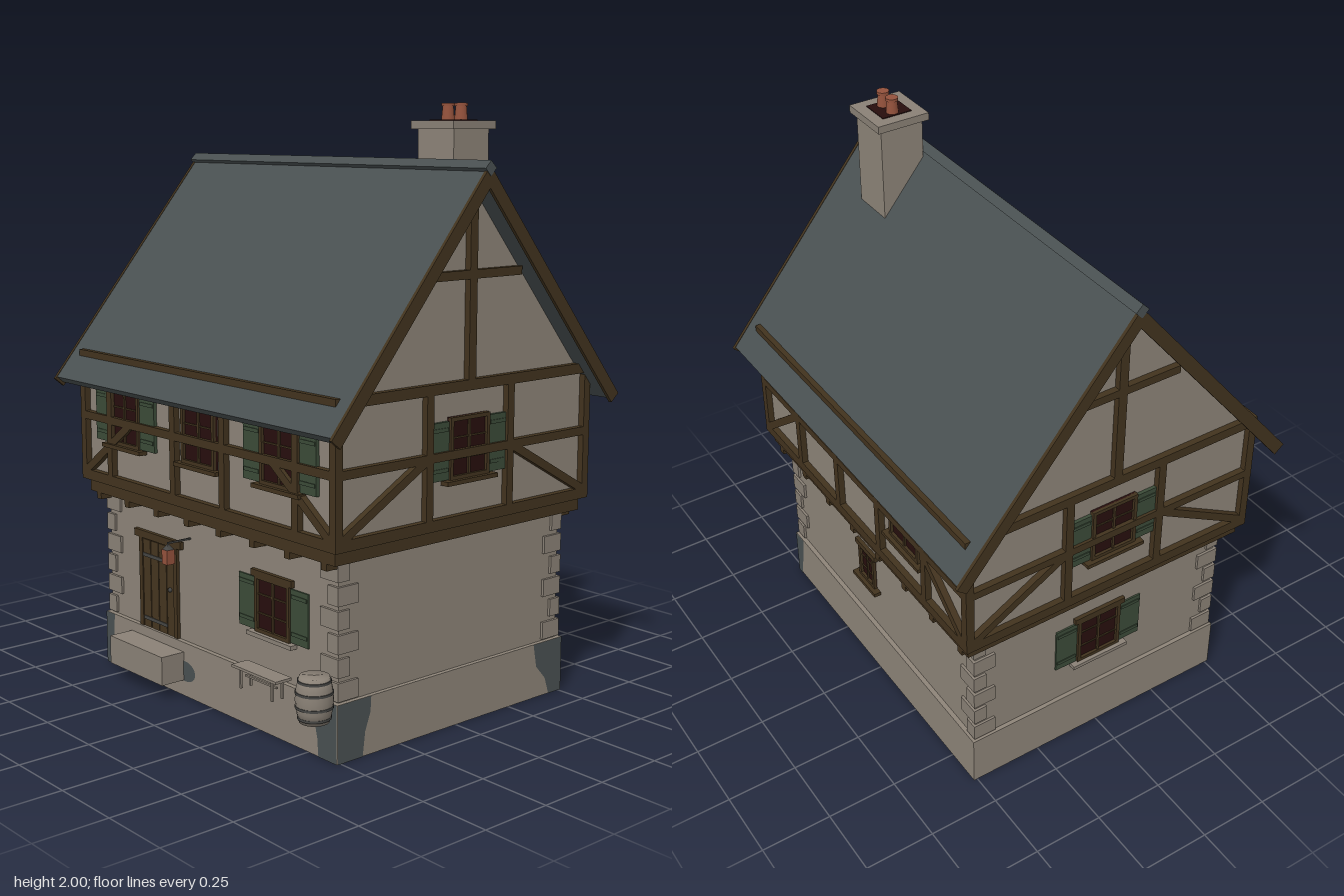
import * as THREE from 'three';

const mat = (name, color, side = THREE.FrontSide) => {
  const m = new THREE.MeshStandardMaterial({ color, side });
  m.name = name;
  return m;
};

export function createModel() {
  const M = {
    plaster: mat('plaster', 0x8d8478),
    stone: mat('stone', 0x8a8176),
    timber: mat('timber', 0x42331e),
    plank: mat('door plank', 0x45351f),
    slate: mat('slate', 0x495051, THREE.DoubleSide),
    glass: mat('dark glass', 0x270e0d),
    shutter: mat('shutter green', 0x3b4b38),
    clay: mat('terracotta', 0x94523c),
    iron: mat('iron', 0x464644),
  };
  const model = new THREE.Group();
  model.name = 'halfTimberedHouse';

  const add = (parent, name, geo, m, x = 0, y = 0, z = 0) => {
    const mesh = new THREE.Mesh(geo, m);
    mesh.name = name;
    mesh.position.set(x, y, z);
    parent.add(mesh);
    return mesh;
  };
  const box = (p, name, m, w, h, d, x, y, z) => add(p, name, new THREE.BoxGeometry(w, h, d), m, x, y, z);
  const poly = (pts) => new THREE.Shape(pts.map(([x, y]) => new THREE.Vector2(x, y)));
  // Profile in z/y, extruded along x between x0 and x1
  const along = (name, m, pts, x0, x1) => {
    const g = new THREE.ExtrudeGeometry(poly(pts), { depth: x1 - x0, bevelEnabled: false });
    g.rotateY(Math.PI / 2);
    return add(model, name, g, m, x0, 0, 0);
  };
  // Group whose local z = 0 lies on a wall face
  const face = (name, angle, dist) => {
    const g = new THREE.Group();
    g.name = name;
    g.rotation.y = angle;
    g.position.set(Math.sin(angle) * dist, 0, Math.cos(angle) * dist);
    model.add(g);
    return g;
  };
  const beam = (p, x1, y1, x2, y2, w = 0.03, name = 'beam') => {
    const b = box(p, name, M.timber, Math.hypot(x2 - x1, y2 - y1), w, 0.024, (x1 + x2) / 2, (y1 + y2) / 2, 0.01);
    b.rotation.z = Math.atan2(y2 - y1, x2 - x1);
  };
  const windowAt = (p, x, y, w, h, { shutters = 0, sill = M.timber, lintel = false } = {}) => {
    const g = new THREE.Group();
    g.name = 'window';
    g.position.set(x, y, 0);
    p.add(g);
    const bar = w * 0.05;
    box(g, 'glass', M.glass, w, h, 0.008, 0, 0, 0.004);
    for (const s of [-1, 1]) {
      box(g, 'frameSide', M.timber, 0.013, h, 0.018, s * (w / 2 - 0.0065), 0, 0.009);
      box(g, 'frameRail', M.timber, w, 0.013, 0.018, 0, s * (h / 2 - 0.0065), 0.009);
      box(g, 'glazingBar', M.timber, w, bar * 0.6, 0.012, 0, s * h / 6, 0.006);
      if (shutters) {
        const sx = s * (w / 2 + shutters / 2 + 0.002);
        box(g, 'shutter', M.shutter, shutters, h - 0.015, 0.012, sx, -0.004, 0.006);
        for (const t of [-1, 1]) box(g, 'shutterBatten', M.shutter, shutters - 0.01, 0.012, 0.004, sx, t * h * 0.32, 0.013);
      }
    }
    box(g, 'mullion', M.timber, bar, h, 0.014, 0, 0, 0.007);
    box(g, 'sill', sill, w + 0.05, 0.014, 0.032, 0, -h / 2 - 0.006, 0.016);
    if (lintel) box(g, 'lintel', M.timber, w + 0.03, 0.022, 0.02, 0, h / 2 + 0.005, 0.01);
  };

  // Open plinth shell and ground storey
  for (const s of [-1, 1]) {
    box(model, 'plinthLong', M.plaster, 1.274, 0.19, 0.012, 0, 0.095, s * 0.507);
    box(model, 'plinthShort', M.plaster, 0.012, 0.19, 1.002, s * 0.631, 0.095, 0);
    box(model, 'plinthLedgeLong', M.plaster, 1.274, 0.006, 0.03, 0, 0.187, s * 0.498);
    box(model, 'plinthLedgeShort', M.plaster, 0.03, 0.006, 1.002, s * 0.622, 0.187, 0);
  }
  box(model, 'groundWalls', M.plaster, 1.244, 0.475, 0.992, 0, 0.4225, 0);

  // Alternating corner stones
  for (const sx of [-1, 1]) for (const sz of [-1, 1]) for (let i = 0; i < 6; i++) {
    const w = i % 2 ? 0.083 : 0.048, d = i % 2 ? 0.048 : 0.083;
    box(model, 'cornerStone', M.stone, w, 0.06, d, sx * (0.631 - w / 2), 0.226 + i * 0.0755, sz * (0.505 - d / 2));
  }

  // Jetty with joist ends
  box(model, 'jettyBeam', M.timber, 1.334, 0.05, 1.096, 0, 0.665, 0);
  for (const s of [-1, 1]) for (let i = 0; i < 8; i++)
    box(model, 'joistEnd', M.timber, 0.026, 0.03, 0.075, -0.615 + i * 0.1757, 0.632, s * 0.51);

  // Upper storey with gables
  along('upperWalls', M.plaster, [[-0.545, 0.685], [0.545, 0.685], [0.545, 1.1], [0, 1.757], [-0.545, 1.1]], -0.668, 0.668);

  const front = face('frontTimbers', 0, 0.545), back = face('backTimbers', Math.PI, 0.545);
  const left = face('leftTimbers', Math.PI / 2, 0.668), right = face('rightTimbers', -Math.PI / 2, 0.668);
  for (const [f, half, posts, braceEnd] of [
    [front, 0.69, [-0.51, -0.135, 0.135, 0.5], 0.39], [back, 0.69, [-0.414, -0.138, 0.138, 0.43], 0.42],
    [left, 0.567, [-0.18, 0.18], 0.19], [right, 0.567, [-0.18, 0.18], 0.19]]) {
    beam(f, -half, 0.703, half, 0.703, 0.036, 'sillBeam');
    beam(f, -half, 0.918, half, 0.918, 0.028, 'midRail');
    beam(f, -half, 1.132, half, 1.132, 0.034, 'wallPlate');
    for (const x of [...posts, -half + 0.015, half - 0.015]) beam(f, x, 0.7, x, 1.13, 0.029, 'post');
    for (const s of [-1, 1]) beam(f, s * (half - 0.03), 0.72, s * braceEnd, 0.915, 0.028, 'brace');
  }
  for (const f of [left, right]) {
    beam(f, 0, 1.14, 0, 1.75, 0.032, 'kingPost');
    beam(f, -0.218, 1.477, 0.218, 1.477, 0.028, 'collarBeam');
    windowAt(f, 0, 0.936, 0.175, 0.2, { shutters: 0.078 });
  }
  for (const x of [-0.428, 0, 0.414]) windowAt(front, x, 0.936, 0.18, 0.2, { shutters: x ? 0.085 : 0 });
  windowAt(back, 0.302, 0.936, 0.18, 0.2);

  // Ground storey openings
  const gFront = face('groundFront', 0, 0.49), gBack = face('groundBack', Math.PI, 0.49);
  const gRight = face('groundRight', -Math.PI / 2, 0.616);
  windowAt(gFront, 0.312, 0.42, 0.175, 0.19, { shutters: 0.085, sill: M.stone, lintel: true });
  windowAt(gRight, 0, 0.425, 0.175, 0.19, { shutters: 0.085, sill: M.stone, lintel: true });
  windowAt(gBack, -0.075, 0.443, 0.105, 0.145, { lintel: true });

  // Door with planks, straps and handle
  const door = new THREE.Group();
  door.name = 'door';
  door.position.set(-0.315, 0, 0);
  gFront.add(door);
  for (let i = 0; i < 4; i++) box(door, 'doorPlank', M.plank, 0.043, 0.315, 0.014, -0.071 + i * 0.0473, 0.348, 0.007);
  box(door, 'doorBacking', M.timber, 0.2, 0.315, 0.008, 0, 0.348, 0.004);
  for (const s of [-1, 1]) box(door, 'doorJamb', M.timber, 0.02, 0.325, 0.018, s * 0.102, 0.353, 0.009);
  box(door, 'doorLintel', M.timber, 0.275, 0.026, 0.02, 0, 0.523, 0.01);
  for (const y of [0.222, 0.45]) box(door, 'strapHinge', M.iron, 0.14, 0.012, 0.004, -0.02, y, 0.015);
  add(door, 'doorHandle', new THREE.SphereGeometry(0.008, 10, 8), M.iron, 0.07, 0.355, 0.016);
  box(model, 'doorStep', M.stone, 0.315, 0.1, 0.092, -0.318, 0.106, 0.559);

  // Damp patches on the plinth
  const patch = (f, pts) => add(f, 'dampPatch', new THREE.ShapeGeometry(poly(pts)), M.slate);
  const pFront = face('plinthFront', 0, 0.515), pLeft = face('plinthLeft', Math.PI / 2, 0.639);
  const pBack = face('plinthBack', Math.PI, 0.515);
  patch(pFront, [[0.636, 0], [0.636, 0.19], [0.455, 0.19], [0.48, 0.15], [0.53, 0.12], [0.545, 0.06], [0.55, 0]]);
  patch(pFront, [[-0.636, 0], [-0.595, 0], [-0.59, 0.08], [-0.582, 0.19], [-0.636, 0.19]]);
  patch(pLeft, [[-0.512, 0], [-0.41, 0], [-0.4, 0.08], [-0.378, 0.14], [-0.375, 0.19], [-0.512, 0.19]]);
  patch(pLeft, [[0.512, 0], [0.512, 0.19], [0.37, 0.19], [0.385, 0.11], [0.43, 0.06], [0.45, 0]]);
  patch(pBack, [[-0.636, 0], [-0.61, 0], [-0.59, 0.1], [-0.575, 0.19], [-0.636, 0.19]]);
  for (const [x, y, rx, ry] of [[-0.152, 0.09, 0.058, 0.036], [-0.46, 0.115, 0.037, 0.026]])
    add(pFront, 'splashPatch', new THREE.CircleGeometry(1, 28), M.slate, x, y, 0).scale.set(rx, ry, 1);

  // Roof slab, barge boards and ridge
  const chevron = (top, t, z) => {
    const k = 1.206, y = top - k * z, d = t * 1.567, n = [t * 0.77, t * 0.638];
    return [[0, top], [-z, y], [-z + n[0], y - n[1]], [0, top - d], [z - n[0], y - n[1]], [z, y]];
  };
  along('roof', M.slate, chevron(1.81, 0.034, 0.63), -0.742, 0.742);
  for (const x of [-0.753, 0.741]) along('bargeBoard', M.timber, chevron(1.812, 0.044, 0.637), x, x + 0.012);
  const ridge = box(model, 'ridgeCap', M.slate, 1.51, 0.034, 0.034, 0, 1.803, 0);
  ridge.rotation.x = Math.PI / 4;

  // Chimney with cap and pots
  const chimney = new THREE.Group();
  chimney.name = 'chimney';
  chimney.position.set(0.492, 0, -0.1);
  model.add(chimney);
  box(chimney, 'stack', M.plaster, 0.16, 0.42, 0.156, 0, 1.72, 0);
  box(chimney, 'cap', M.stone, 0.19, 0.026, 0.19, 0, 1.932, 0);
  box(chimney, 'flue', M.glass, 0.108, 0.006, 0.108, 0, 1.945, 0);
  for (const s of [-1, 1]) {
    add(chimney, 'pot', new THREE.CylinderGeometry(0.017, 0.022, 0.055, 16), M.clay, s * 0.029, 1.967, -0.004);
    add(chimney, 'potRim', new THREE.CylinderGeometry(0.021, 0.021, 0.01, 16), M.clay, s * 0.029, 1.995, -0.004);
  }

  // Barrel
  const staves = [[0, 0], [0.047, 0], [0.056, 0.035], [0.06, 0.072], [0.056, 0.11], [0.047, 0.145], [0, 0.145]];
  add(model, 'barrel', new THREE.LatheGeometry(staves.map(([r, y]) => new THREE.Vector2(r, y)), 20), M.stone, 0.608, 0.15, 0.58);
  for (const [y, r] of [[0.165, 0.053], [0.2, 0.06], [0.245, 0.06], [0.28, 0.053]])
    add(model, 'barrelHoop', new THREE.CylinderGeometry(r, r, 0.008, 20), M.iron, 0.608, y, 0.58);

  // Bench
  box(model, 'benchSeat', M.stone, 0.225, 0.009, 0.065, 0.312, 0.219, 0.55);
  for (const s of [-1, 1]) for (const z of [0.53, 0.57])
    box(model, 'benchLeg', M.stone, 0.008, 0.066, 0.008, 0.312 + s * 0.08, 0.182, z);
  box(model, 'benchStretcher', M.stone, 0.16, 0.006, 0.008, 0.312, 0.188, 0.55);

  // Lantern on a bracket
  box(model, 'lanternBracket', M.iron, 0.006, 0.006, 0.105, -0.137, 0.557, 0.537);
  add(model, 'lanternCap', new THREE.ConeGeometry(0.021, 0.02, 4), M.iron, -0.137, 0.546, 0.587).rotation.y = Math.PI / 4;
  box(model, 'lantern', M.clay, 0.031, 0.05, 0.031, -0.137, 0.511, 0.587);

  return model;
}
